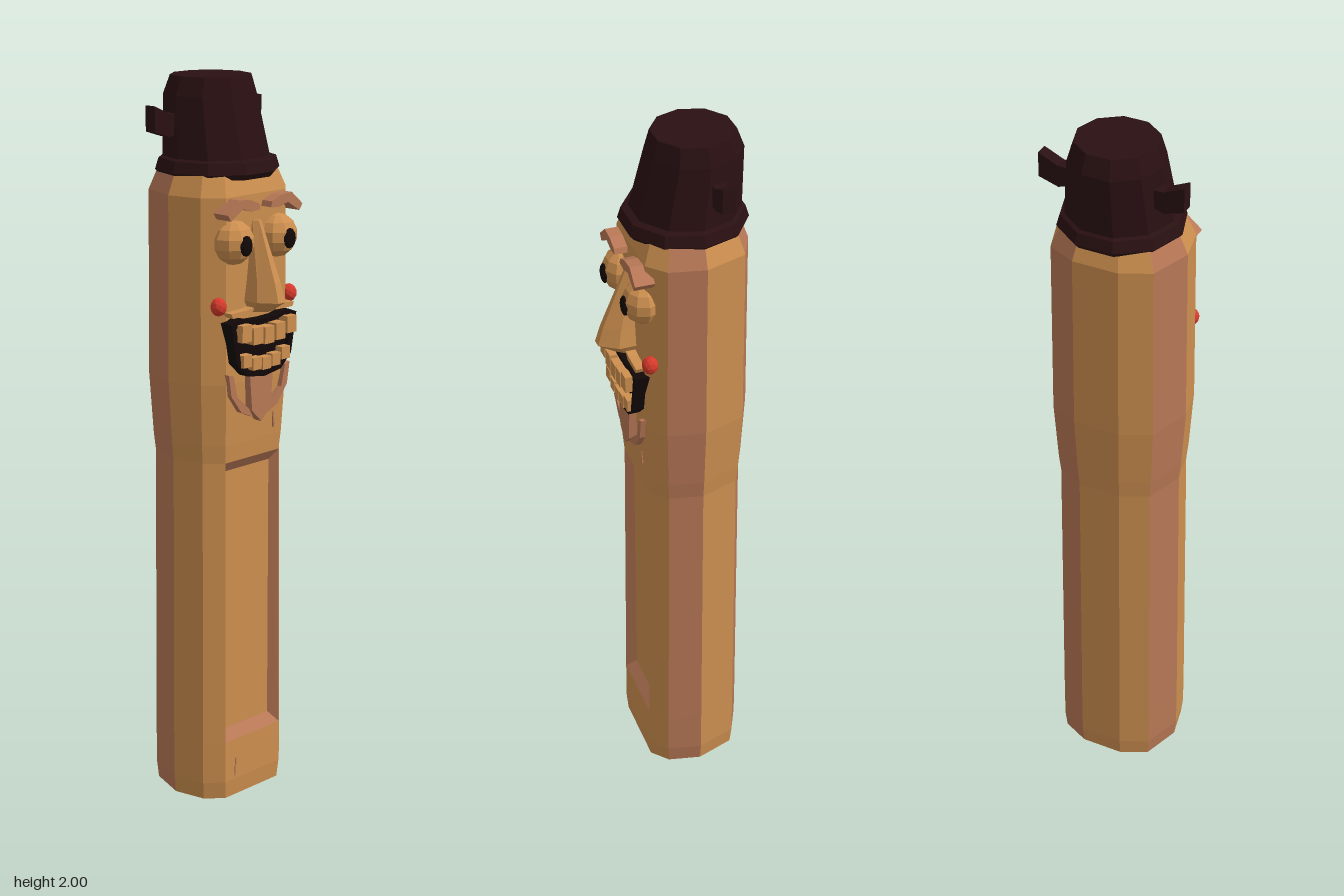
import * as THREE from 'three';

const mat = (name, color) => new THREE.MeshStandardMaterial({ name, color, flatShading: true });

// Flat triangles from a list of quads/polygons (corners counter-clockwise)
function polygons(faces) {
  const pos = [];
  for (const f of faces)
    for (let i = 1; i < f.length - 1; i++) pos.push(...f[0], ...f[i], ...f[i + 1]);
  const g = new THREE.BufferGeometry();
  g.setAttribute('position', new THREE.Float32BufferAttribute(pos, 3));
  g.computeVertexNormals();
  return g;
}

// Side quads and caps between stacked rings
function loftFaces(rings) {
  const faces = [], n = rings[0].length;
  for (let r = 0; r < rings.length - 1; r++)
    for (let i = 0; i < n; i++) {
      const j = (i + 1) % n;
      faces.push([rings[r][i], rings[r][j], rings[r + 1][j], rings[r + 1][i]]);
    }
  faces.push([...rings[0]].reverse(), rings[rings.length - 1]);
  return faces;
}

function extrude(points, depth) {
  const shape = new THREE.Shape(points.map(p => new THREE.Vector2(...p)));
  return new THREE.ExtrudeGeometry(shape, { depth, bevelEnabled: false });
}

export function createModel() {
  const model = new THREE.Group();
  model.name = 'carvedTotem';
  const wood = mat('wood', 0xcd8f4f);
  const redWood = mat('reddish wood', 0xb87856);
  const felt = mat('dark felt', 0x2a1012);
  const black = mat('black', 0x120808);
  const red = mat('red', 0xd83a2c);

  const add = (name, geo, material, x = 0, y = 0, z = 0) => {
    const m = new THREE.Mesh(geo, material);
    m.name = name;
    m.position.set(x, y, z);
    model.add(m);
    return m;
  };
  const plate = (name, pts, z0, z1, material) => add(name, extrude(pts, z1 - z0), material, 0, 0, z0);
  const mirrored = (pts, s) => pts.map(([x, y]) => [x * s, y]);

  // Post: ten-sided section, slightly wider at the head
  const half = [[0.115, 0.105], [0.165, 0.06], [0.187, -0.04], [0.147, -0.158], [0.065, -0.197]];
  const section = [[-0.115, 0.105], ...half, ...half.slice(1).reverse().map(([x, z]) => [-x, z])];
  const levels = [[0, 0.91], [0.05, 0.94], [0.17, 0.94], [0.98, 0.91], [1.03, 0.94], [1.2, 1], [1.7, 0.98], [1.76, 0.84]];
  const rings = levels.map(([y, s]) => section.map(([x, z]) => [x * s, y, -0.045 + (z + 0.045) * s]));
  const n = section.length, reddish = [2, 4, 7];
  const faces = loftFaces(rings);
  const panelFace = 2 * n;
  const isSide = i => i < faces.length - 2;
  add('post', polygons(faces.filter((f, i) => i !== panelFace && !(isSide(i) && reddish.includes(i % n)))), wood);
  add('postStrips', polygons(faces.filter((f, i) => isSide(i) && reddish.includes(i % n))), redWood);

  // Recessed front panel
  const outer = faces[panelFace];
  const inner = [[-0.087, 0.2], [0.087, 0.2], [0.087, 0.95], [-0.087, 0.95]].map(([x, y]) => [x, y, 0.07]);
  const slopes = outer.map((p, i) => [p, outer[(i + 1) % 4], inner[(i + 1) % 4], inner[i]]);
  add('frontPanel', polygons([inner]), wood);
  add('panelBevel', polygons(slopes), redWood);

  // Hat, leaning back
  const hatLevels = [[1.74, 0.15, -0.04], [1.755, 0.163, -0.04], [1.785, 0.154, -0.04],
    [1.79, 0.14, -0.045], [1.95, 0.122, -0.068], [2, 0.106, -0.065]];
  const hatRings = hatLevels.map(([y, r, zc]) => Array.from({ length: 10 }, (_, i) => {
    const a = (i + 0.5) / 10 * Math.PI * 2;
    return [Math.sin(a) * r * 1.03, y, zc + Math.cos(a) * r * 1.03];
  }));
  add('hat', polygons(loftFaces(hatRings)), felt);

  // Nose: widens and projects downward
  const noseRings = [[1.39, 0.03, 0.15], [1.42, 0.045, 0.198], [1.47, 0.036, 0.183], [1.63, 0.015, 0.118]]
    .map(([y, w, z]) => [[-w * 0.3, y, z], [w * 0.3, y, z], [w, y, 0.08 + (z - 0.08) * 0.6],
      [w, y, 0.08], [-w, y, 0.08], [-w, y, 0.08 + (z - 0.08) * 0.6]]);
  add('nose', polygons(loftFaces(noseRings)), wood);

  // Paired parts
  const hornPts = [[0.115, 1.855], [0.145, 1.845], [0.2, 1.862], [0.2, 1.93], [0.145, 1.905], [0.115, 1.905]];
  const browPts = [[0.02, 1.665], [0.05, 1.662], [0.085, 1.672], [0.13, 1.645], [0.142, 1.662], [0.1, 1.697], [0.06, 1.694], [0.025, 1.68]];
  const whiskerPts = [[0.118, 1.23], [0.1, 1.225], [0.085, 1.165], [0.04, 1.125], [0.025, 1.1], [0.07, 1.12], [0.108, 1.17]];
  const foldPts = [[0.03, 1.405], [0.05, 1.385], [0.115, 1.385], [0.12, 1.398], [0.06, 1.4]];
  for (const s of [1, -1]) {
    const side = s > 0 ? 'left' : 'right';
    plate(side + 'HatHorn', mirrored(hornPts, s), -0.105, -0.07, felt);
    plate(side + 'Brow', mirrored(browPts, s), 0.085, 0.138, redWood);
    plate(side + 'BeardLock', mirrored(whiskerPts, s), 0.09, 0.118, redWood);
    plate(side + 'UpperLipFold', mirrored(foldPts, s), 0.09, 0.13, wood);
    add(side + 'Eye', new THREE.SphereGeometry(0.06, 10, 7), wood, s * 0.083, 1.58, 0.098).scale.z = 0.92;
    const pupil = add(side + 'Pupil', new THREE.SphereGeometry(0.024, 8, 6), black, s * 0.083, 1.576, 0.147);
    pupil.scale.set(0.95, 1.15, 0.45);
    add(side + 'CheekSpot', new THREE.IcosahedronGeometry(0.022, 1), red, s * 0.135, 1.415, 0.097).scale.y = 1.15;
  }

  // Mouth: dark back, raised rim, two rows of teeth
  const rim = [[-0.125, 1.37], [-0.105, 1.26], [-0.065, 1.222], [0, 1.212], [0.065, 1.222], [0.105, 1.26],
    [0.125, 1.37], [0.09, 1.383], [0.05, 1.372], [0, 1.37], [-0.05, 1.372], [-0.09, 1.383]];
  plate('mouthBack', rim, 0.09, 0.122, black);
  const rimShape = new THREE.Shape(rim.map(p => new THREE.Vector2(...p)));
  rimShape.holes.push(new THREE.Path(rim.map(([x, y]) => new THREE.Vector2(x * 0.86, 1.3 + (y - 1.3) * 0.82)).reverse()));
  add('lips', new THREE.ExtrudeGeometry(rimShape, { depth: 0.035, bevelEnabled: false }), black, 0, 0, 0.1);
  for (let i = -2; i <= 2; i++) {
    const curve = i * i * 0.004;
    add('upperTooth', new THREE.BoxGeometry(0.036, 0.046, 0.04), wood, i * 0.043, 1.328 + curve, 0.135);
    add('lowerTooth', new THREE.BoxGeometry(0.032, 0.034, 0.035), wood, i * 0.037, 1.25 + curve, 0.128);
  }

  // Pointed beard
  plate('beard', [[-0.045, 1.225], [-0.036, 1.12], [0, 1.085], [0.036, 1.12], [0.045, 1.225]], 0.09, 0.125, redWood);

  // Small cracks in the wood
  plate('headCrack', [[0.068, 1.095], [0.073, 1.05], [0.077, 1.06], [0.073, 1.097]], 0.094, 0.102, redWood);
  plate('baseCrack', [[-0.074, 0.06], [-0.069, 0.06], [-0.066, 0.115], [-0.07, 0.112]], 0.09, 0.0975, redWood);

  return model;
}
